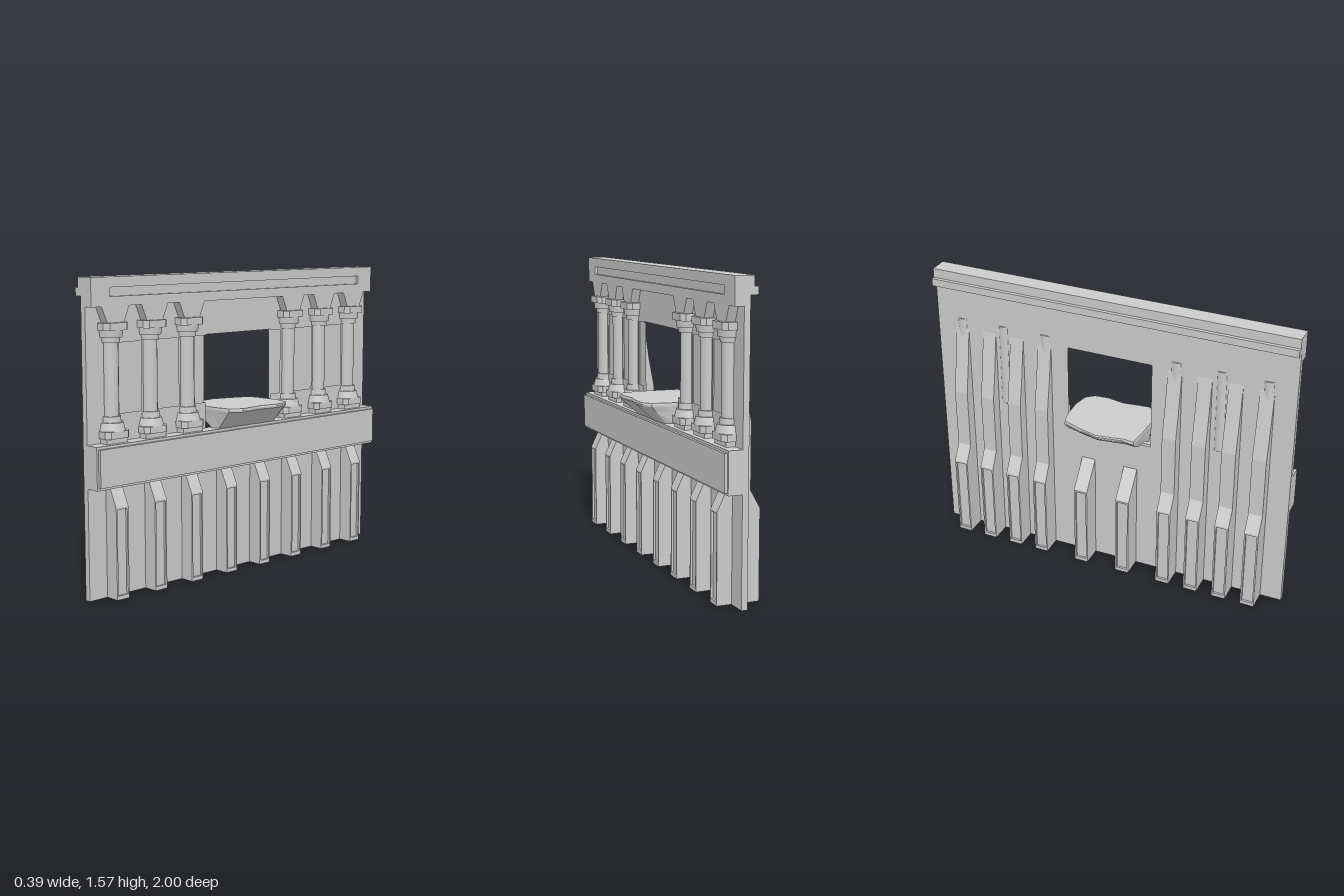
import * as THREE from 'three';

const mat = new THREE.MeshStandardMaterial({ color: 0xcccccc, flatShading: true });
const smooth = new THREE.MeshStandardMaterial({ color: 0xcccccc });
const slabMat = new THREE.MeshStandardMaterial({ color: 0xcccccc, flatShading: true, side: THREE.DoubleSide });

const WALL_BACK = -0.02, WALL_FRONT = 0.012;

export function createModel() {
  const model = new THREE.Group();

  const add = (parent, name, geo, material = mat) => {
    const mesh = new THREE.Mesh(geo, material);
    mesh.name = name;
    parent.add(mesh);
    return mesh;
  };
  const group = (name, z = 0) => {
    const g = new THREE.Group();
    g.name = name;
    g.position.z = z;
    model.add(g);
    return g;
  };
  const box = (parent, name, x0, x1, y0, y1, z0, z1) =>
    add(parent, name, new THREE.BoxGeometry(x1 - x0, y1 - y0, z1 - z0))
      .position.set((x0 + x1) / 2, (y0 + y1) / 2, (z0 + z1) / 2);
  const toShape = pts => new THREE.Shape(pts.map(p => new THREE.Vector2(...p)));
  const rect = (a, b, c, d) => [[a, c], [b, c], [b, d], [a, d]];

  // (x, y) profile swept along z
  const alongZ = (pts, z0, z1) =>
    new THREE.ExtrudeGeometry(toShape(pts), { depth: z1 - z0, bevelEnabled: false }).translate(0, 0, z0);
  // (z, y) outline with holes swept along x
  const alongX = (pts, holes, x0, x1) => {
    const flip = list => list.map(([z, y]) => [-z, y]);
    const shape = toShape(flip(pts));
    holes.forEach(h => shape.holes.push(toShape(flip(h))));
    return new THREE.ExtrudeGeometry(shape, { depth: x1 - x0, bevelEnabled: false })
      .rotateY(Math.PI / 2).translate(x0, 0, 0);
  };

  // Wall: a back sheet with the window, and a front sheet with sunken bays
  const outer = rect(-1, 1, 0, 1.5);
  add(model, 'wallBack', alongX(outer, [rect(-0.235, 0.235, 0.77, 1.255)], WALL_BACK, 0));
  const bays = [];
  for (const s of [-1, 1])
    for (const z of [0.488, 0.732]) bays.push(rect(s * z - 0.07, s * z + 0.07, 0.905, 1.25));
  bays.push([[-0.235, 0.77], [0.235, 0.77], [0.235, 0.905], [0.31, 0.905], [0.31, 1.25], [0.235, 1.25],
    [0.235, 1.255], [-0.235, 1.255], [-0.235, 1.25], [-0.31, 1.25], [-0.31, 0.905], [-0.235, 0.905]]);
  add(model, 'wallFront', alongX(outer, bays, 0, WALL_FRONT));

  // Top beam with a rear lip and a long groove in its face
  const beam = groove => [[-0.04, 1.57], [0.06, 1.57],
    ...(groove ? [[0.06, 1.52], [0.045, 1.52], [0.045, 1.477], [0.06, 1.477]] : []),
    [0.06, 1.43], [-0.01, 1.43], [-0.01, 1.48], [-0.06, 1.48], [-0.06, 1.52], [-0.04, 1.52]];
  const top = group('topBeam');
  add(top, 'beamMiddle', alongZ(beam(true), -0.89, 0.89));
  add(top, 'beamEnd', alongZ(beam(false), 0.89, 1));
  add(top, 'beamEnd', alongZ(beam(false), -1, -0.89));

  // Middle ledge with raised panel
  const ledge = group('ledge');
  box(ledge, 'ledgeBody', 0, 0.085, 0.557, 0.77, -1, 1);
  box(ledge, 'ledgePanel', 0.08, 0.1, 0.57, 0.757, -0.99, 0.99);

  // Upright rib with a sunken panel on its outer face
  const rib = (name, z, face, upper) => {
    const g = group(name, z), d = Math.sign(face), inner = face - d * 0.012;
    add(g, 'ribBody', alongZ([[0, 0], [face, 0], [face, 0.02], [inner, 0.02],
      [inner, 0.45], [face, 0.45], [face, 0.46], ...upper], -0.038, 0.038));
    for (const s of [-1, 1])
      box(g, 'ribFrame', Math.min(face, inner), Math.max(face, inner), 0.02, 0.45,
        s > 0 ? 0.03 : -0.038, s > 0 ? 0.038 : -0.03);
  };
  for (const s of [-1, 1]) {
    for (let i = 0; i < 4; i++) {
      rib('frontPilaster', s * (0.122 + 0.244 * i), 0.09, [[0.043, 0.557], [0, 0.557]]);
      rib('backButtress', s * (0.365 + 0.162 * i) - 0.005, -0.132,
        [[-0.082, 0.55], [-0.082, 0.88], [-0.052, 1.04], [-0.02, 1.25], [0, 1.25]]);
    }
    rib('shortButtress', s * 0.122, -0.132, [[-0.02, 0.61], [0, 0.61]]);
  }

  // Engaged columns: round shaft and rings, chamfered blocks, flared bracket
  const block = (w, d, y0, y1) => {
    const c = w * 0.3;
    const pts = [[-0.005, -w], [d - c, -w], [d, -w + c], [d, w - c], [d - c, w], [-0.005, w]];
    return new THREE.ExtrudeGeometry(toShape(pts), { depth: y1 - y0, bevelEnabled: false })
      .rotateX(-Math.PI / 2).translate(WALL_FRONT, y0, 0);
  };
  const ring = (r0, r1, y0, y1) =>
    new THREE.CylinderGeometry(r1, r0, y1 - y0, 20, 1, false, 0, Math.PI)
      .translate(WALL_FRONT, (y0 + y1) / 2, 0);
  for (const s of [-1, 1]) for (let i = 0; i < 3; i++) {
    const g = group('column', s * (0.366 + 0.244 * i));
    add(g, 'shaft', new THREE.CylinderGeometry(0.04, 0.04, 0.46, 20).translate(WALL_FRONT, 1.07, 0), smooth);
    box(g, 'plinth', 0, 0.06, 0.77, 0.795, -0.065, 0.065);
    add(g, 'baseBlock', block(0.074, 0.067, 0.795, 0.83));
    add(g, 'baseRing', ring(0.07, 0.06, 0.83, 0.87));
    add(g, 'baseCollar', ring(0.05, 0.048, 0.87, 0.9));
    add(g, 'capitalCollar', ring(0.048, 0.05, 1.255, 1.28));
    add(g, 'capitalRing', ring(0.06, 0.064, 1.28, 1.315));
    add(g, 'capitalBlock', block(0.074, 0.067, 1.315, 1.352));
    add(g, 'bracket', alongX([[-0.05, 1.35], [0.05, 1.35], [0.085, 1.432], [-0.085, 1.432]], [], 0, 0.059));
  }

  // Irregular counter slab through the window, narrowing underneath
  const outline = [[-0.13, -0.21], [-0.06, -0.228], [0.06, -0.235], [0.15, -0.218], [0.185, -0.175],
    [0.192, -0.1], [0.175, 0], [0.192, 0.14], [0.15, 0.2], [0.06, 0.215], [-0.06, 0.212],
    [-0.18, 0.205], [-0.173, 0.15], [-0.198, 0], [-0.17, -0.1]];
  const levels = [[0.88, 0.98, 0.99], [0.872, 1, 1], [0.862, 0.99, 1], [0.835, 0.83, 0.98], [0.77, 0.45, 0.96]];
  const n = outline.length, pos = [], idx = [];
  for (const [y, sx, sz] of levels)
    for (const [x, z] of outline) pos.push(x * sx, x < 0 && y < 0.8 ? 0.8 : y, z * sz);
  for (let l = 0; l < levels.length - 1; l++) for (let i = 0; i < n; i++) {
    const a = l * n + i, b = l * n + (i + 1) % n;
    idx.push(a, b, a + n, b, b + n, a + n);
  }
  const base = (levels.length - 1) * n;
  for (const [a, b, c] of THREE.ShapeUtils.triangulateShape(outline.map(p => new THREE.Vector2(...p)), []))
    idx.push(a, c, b, base + a, base + b, base + c);
  const slab = new THREE.BufferGeometry();
  slab.setAttribute('position', new THREE.Float32BufferAttribute(pos, 3));
  slab.setIndex(idx);
  slab.computeVertexNormals();
  add(model, 'counterSlab', slab, slabMat);

  return model;
}
